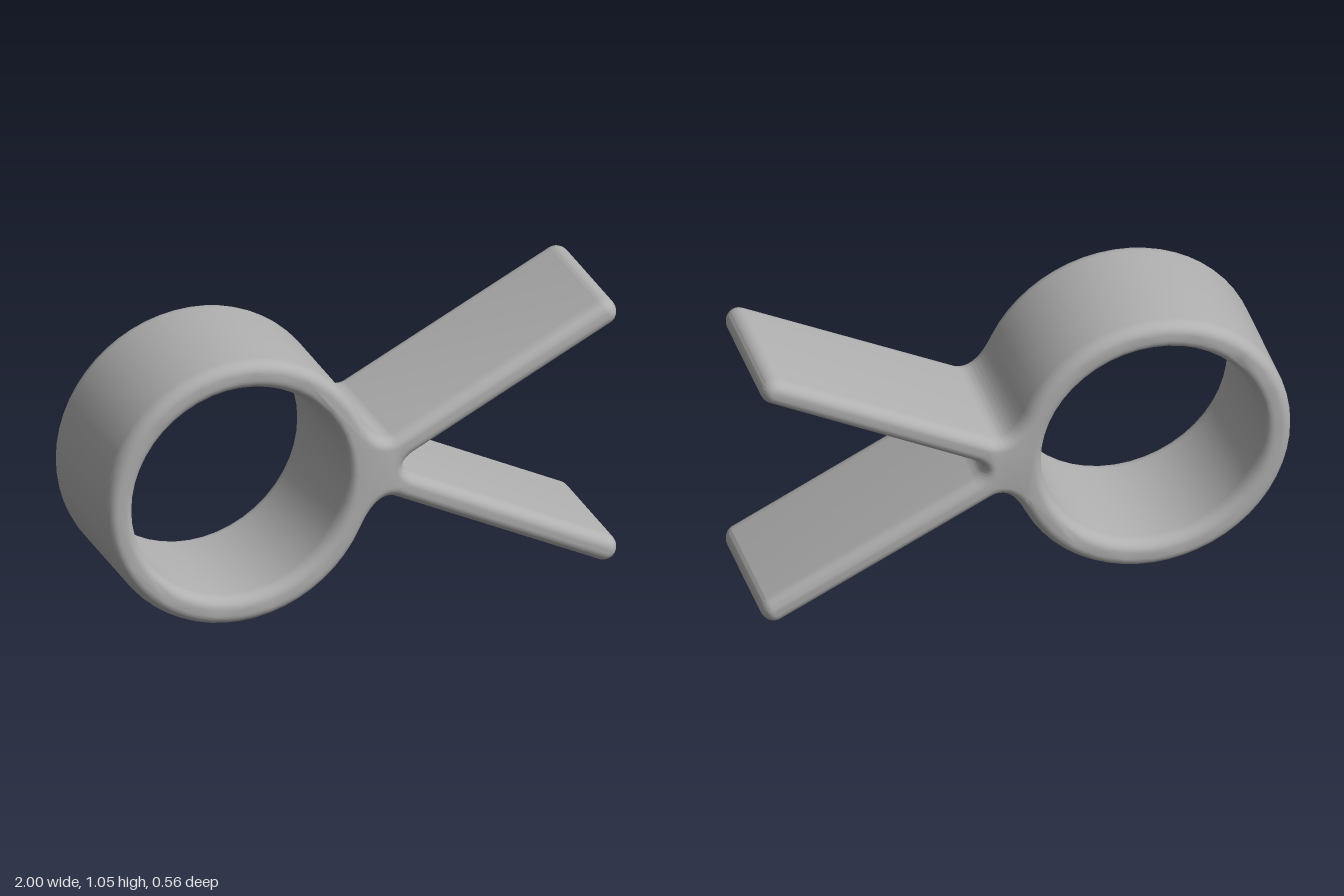
import * as THREE from 'three';
import { toCreasedNormals } from 'three/addons/utils/BufferGeometryUtils.js';

const MID = 0.525;            // height of the symmetry line
const RING = { x: -0.475, outer: 0.525, inner: 0.417 };
const TIP = { x: 0.95, rise: 0.475, r: 0.05 };
const SLOPE = Math.atan(0.5); // tilt of each prong
const JOIN = 0.4425;          // angle where the ring flows into the prongs

// Rounded end of a prong: side is -1 for the lower one, 1 for the upper one
function prongTip(shape, side) {
  const a = side * SLOPE;
  shape.absarc(TIP.x, MID + side * TIP.rise, TIP.r, a - Math.PI / 2, a + Math.PI / 2, false);
}

function clipProfile() {
  const shape = new THREE.Shape();
  // ring, counter-clockwise round its far side
  shape.absarc(RING.x, MID, RING.outer, JOIN, Math.PI * 2 - JOIN, false);
  // fillet into the lower prong
  shape.quadraticCurveTo(0.06, MID - 0.095, 0.13, MID - 0.123);
  prongTip(shape, -1);
  // rounded notch between the prongs
  shape.lineTo(0.2, MID - 0.043);
  shape.quadraticCurveTo(0.13, MID, 0.2, MID + 0.043);
  prongTip(shape, 1);
  // fillet back to the ring
  shape.lineTo(0.13, MID + 0.123);
  shape.quadraticCurveTo(0.06, MID + 0.095,
    RING.x + RING.outer * Math.cos(JOIN), MID + RING.outer * Math.sin(JOIN));

  const hole = new THREE.Path();
  hole.absarc(RING.x, MID, RING.inner, 0, Math.PI * 2, true);
  shape.holes.push(hole);
  return shape;
}

export function createModel() {
  const grey = new THREE.MeshStandardMaterial({ color: 0xb0b0b0 });
  grey.name = 'plain grey';

  // one continuous body with softly rounded rims
  const width = 0.565, round = 0.055, inset = 0.04;
  const geometry = new THREE.ExtrudeGeometry(clipProfile(), {
    depth: width - 2 * round,
    curveSegments: 24,
    bevelEnabled: true,
    bevelThickness: round,
    bevelSize: inset,
    bevelOffset: -inset,
    bevelSegments: 6,
  });
  geometry.translate(0, 0, -width / 2 + round);

  const clip = new THREE.Mesh(toCreasedNormals(geometry, 0.7), grey);
  clip.name = 'ringWithProngs';

  const group = new THREE.Group();
  group.name = 'springClip';
  group.add(clip);
  return group;
}
